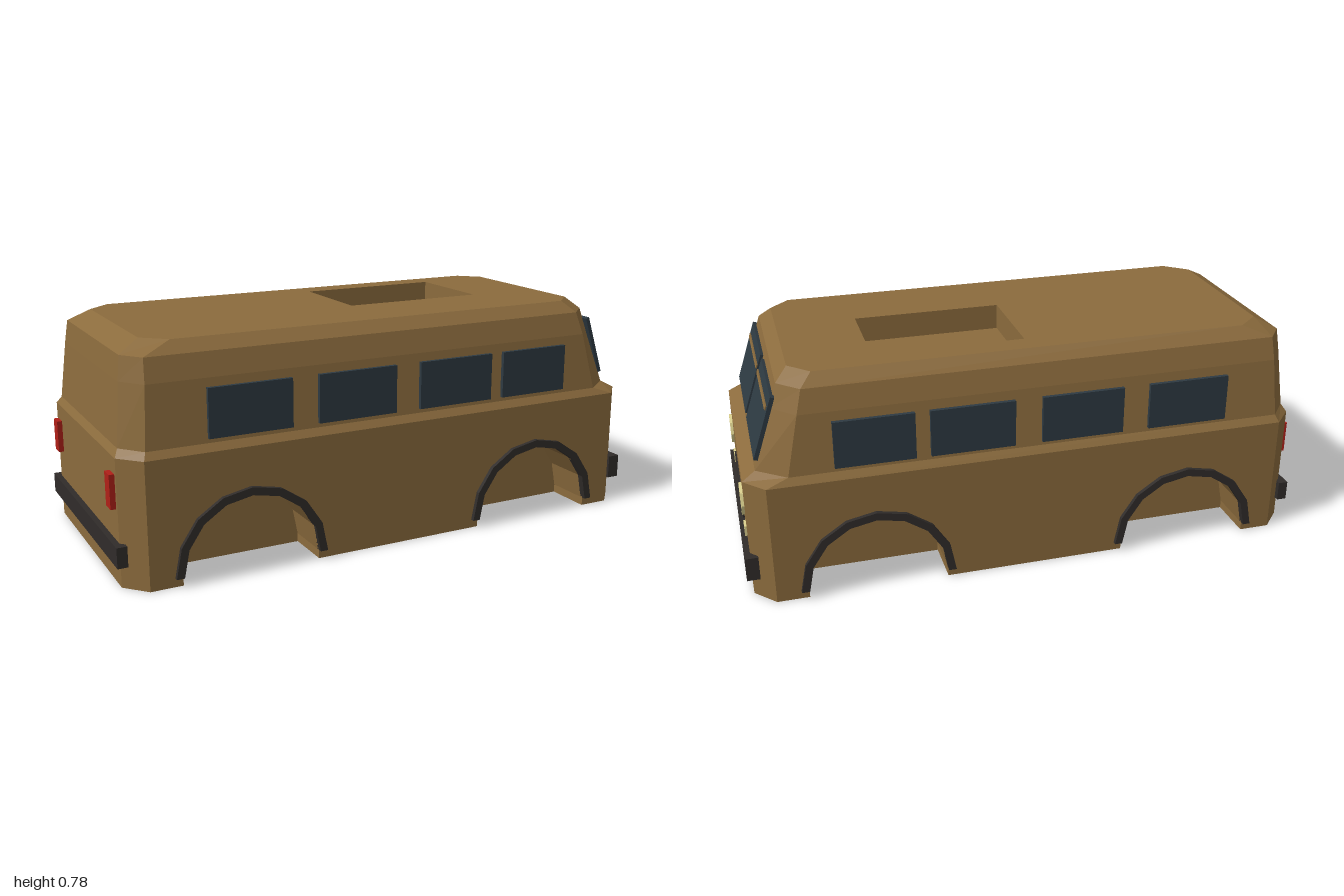
import * as THREE from 'three';

const mat = (color) => new THREE.MeshStandardMaterial({ color, flatShading: true });

export function createModel() {
  const group = new THREE.Group();
  const paint = mat(0x8b6b3d), glass = mat(0x2e3a42), trim = mat(0x302c2a);
  const lamp = mat(0xddd28f), red = mat(0xb02018);

  const add = (name, geo, material, x = 0, y = 0, z = 0) => {
    const m = new THREE.Mesh(geo, material);
    m.name = name;
    m.position.set(x, y, z);
    group.add(m);
    return m;
  };
  // box given by its limits on each axis
  const box = (name, material, [x0, x1], [y0, y1], [z0, z1]) =>
    add(name, new THREE.BoxGeometry(x1 - x0, y1 - y0, z1 - z0), material,
      (x0 + x1) / 2, (y0 + y1) / 2, (z0 + z1) / 2);

  // skin between successive closed rings of [x, y, z] points
  const loft = (rings) => {
    const pos = [];
    for (let r = 0; r + 1 < rings.length; r++) {
      const lo = rings[r], hi = rings[r + 1], n = lo.length;
      for (let i = 0; i < n; i++) {
        const j = (i + 1) % n;
        pos.push(...lo[i], ...lo[j], ...hi[j], ...lo[i], ...hi[j], ...hi[i]);
      }
    }
    const g = new THREE.BufferGeometry();
    g.setAttribute('position', new THREE.Float32BufferAttribute(pos, 3));
    g.computeVertexNormals();
    return g;
  };

  // eight-sided body section: height, rear/front x, half width, corner cuts
  const section = ([y, xr, xf, w, xrc, xfc, zc]) => [
    [xf, zc], [xf, -zc], [xfc, -w], [xrc, -w], [xr, -zc], [xr, zc], [xrc, w], [xfc, w],
  ].map(([x, z]) => [x, y, z]);

  const rings = [
    [0.43, -0.98, 0.98, 0.45, -0.91, 0.91, 0.375],
    [0.455, -0.965, 0.935, 0.433, -0.9, 0.835, 0.355],
    [0.66, -0.945, 0.868, 0.41, -0.885, 0.79, 0.33],
    [0.74, -0.935, 0.842, 0.39, -0.88, 0.77, 0.32],
    [0.78, -0.86, 0.8, 0.35, -0.78, 0.73, 0.28],
  ].map(section);
  add('cabin', loft(rings), paint);

  // roof with sunken hatch
  const hatch = [[0.52, 0.085], [0.52, -0.265], [-0.005, -0.265], [-0.005, 0.085]];
  const flat = (pts) => pts.map(([x, z]) => new THREE.Vector2(x, -z));
  const roof = new THREE.Shape(flat(rings[4].map(([x, , z]) => [x, z])));
  roof.holes.push(new THREE.Path(flat(hatch)));
  add('roof', new THREE.ShapeGeometry(roof).rotateX(-Math.PI / 2), paint, 0, 0.78, 0);
  add('hatchWalls', loft([0.78, 0.69].map((y) => hatch.map(([x, z]) => [x, y, z]))), paint);
  add('hatchFloor', new THREE.PlaneGeometry(0.525, 0.35).rotateX(-Math.PI / 2), paint, 0.2575, 0.69, -0.09);

  // lower body: core plus two flanks notched for the wheels
  const arc = (cx, r) => Array.from({ length: 9 }, (_, i) => {
    const a = Math.PI * (1 - i / 8);
    return new THREE.Vector2(cx + r * Math.cos(a), 0.03 + r * Math.sin(a));
  });
  const v = (x, y) => new THREE.Vector2(x, y);
  const notch = (cx) => [v(cx - 0.24, 0), ...arc(cx, 0.24), v(cx + 0.24, 0)];
  box('lowerBody', paint, [-0.98, 0.98], [0, 0.43], [-0.28, 0.28]);
  const outline = [v(-0.98, 0), ...notch(-0.56), ...notch(0.56), v(0.98, 0), v(0.98, 0.43), v(-0.98, 0.43)];
  const flank = new THREE.ExtrudeGeometry(new THREE.Shape(outline), { depth: 2, steps: 2, bevelEnabled: false });
  const p = flank.attributes.position;
  for (let i = 0; i < p.count; i++) {
    const layer = Math.round(p.getZ(i));
    p.setZ(i, [0.28, 0.375, 0.45][layer]);
    if (layer === 2 && Math.abs(p.getX(i)) > 0.97) p.setX(i, Math.sign(p.getX(i)) * 0.91);
  }
  flank.computeVertexNormals();

  for (const s of [1, -1]) {
    const side = s > 0 ? 'left' : 'right';
    add(side + 'Flank', flank, paint).rotation.y = s > 0 ? 0 : Math.PI;

    // wheel arch trims
    for (const cx of [-0.56, 0.56]) {
      const arch = new THREE.Shape([...arc(cx, 0.267), ...arc(cx, 0.24).reverse()]);
      add(side + 'ArchTrim', new THREE.ExtrudeGeometry(arch, { depth: 0.025, bevelEnabled: false }),
        trim, 0, 0, s > 0 ? 0.44 : -0.465);
    }

    // side windows
    for (const xs of [[-0.695, -0.405], [-0.31, -0.02], [0.075, 0.365], [0.415, 0.685]]) {
      box(side + 'Window', glass, xs, [0.47, 0.635], s > 0 ? [0.429, 0.443] : [-0.443, -0.429]);
    }

    // windscreen pane, leaning back with the cabin front
    const lean = Math.atan2(0.072, 0.215);
    add(side + 'Windscreen', new THREE.BoxGeometry(0.014, 0.226, 0.335), glass,
      0.893, 0.5975, s * 0.1855).rotation.z = lean;
    add(side + 'ScreenBar', new THREE.BoxGeometry(0.008, 0.014, 0.316), paint,
      0.879, 0.662, s * 0.176).rotation.z = lean;

    // lamps
    const head = new THREE.CylinderGeometry(0.057, 0.057, 0.02, 8).rotateZ(-Math.PI / 2);
    add(side + 'Headlight', head, lamp, 0.98, 0.317, s * 0.278);
    add(side + 'FogLight', new THREE.BoxGeometry(0.02, 0.037, 0.045), lamp, 0.978, 0.201, s * 0.277);
    add(side + 'TailLight', new THREE.BoxGeometry(0.03, 0.115, 0.05), red, -0.983, 0.317, s * 0.335);
  }

  // end fittings
  box('grille', trim, [0.97, 0.986], [0.155, 0.29], [-0.134, 0.134]);
  box('frontBumper', trim, [0.955, 1], [0.075, 0.16], [-0.412, 0.412]);
  box('rearBumper', trim, [-1, -0.965], [0.08, 0.15], [-0.41, 0.41]);

  return group;
}
